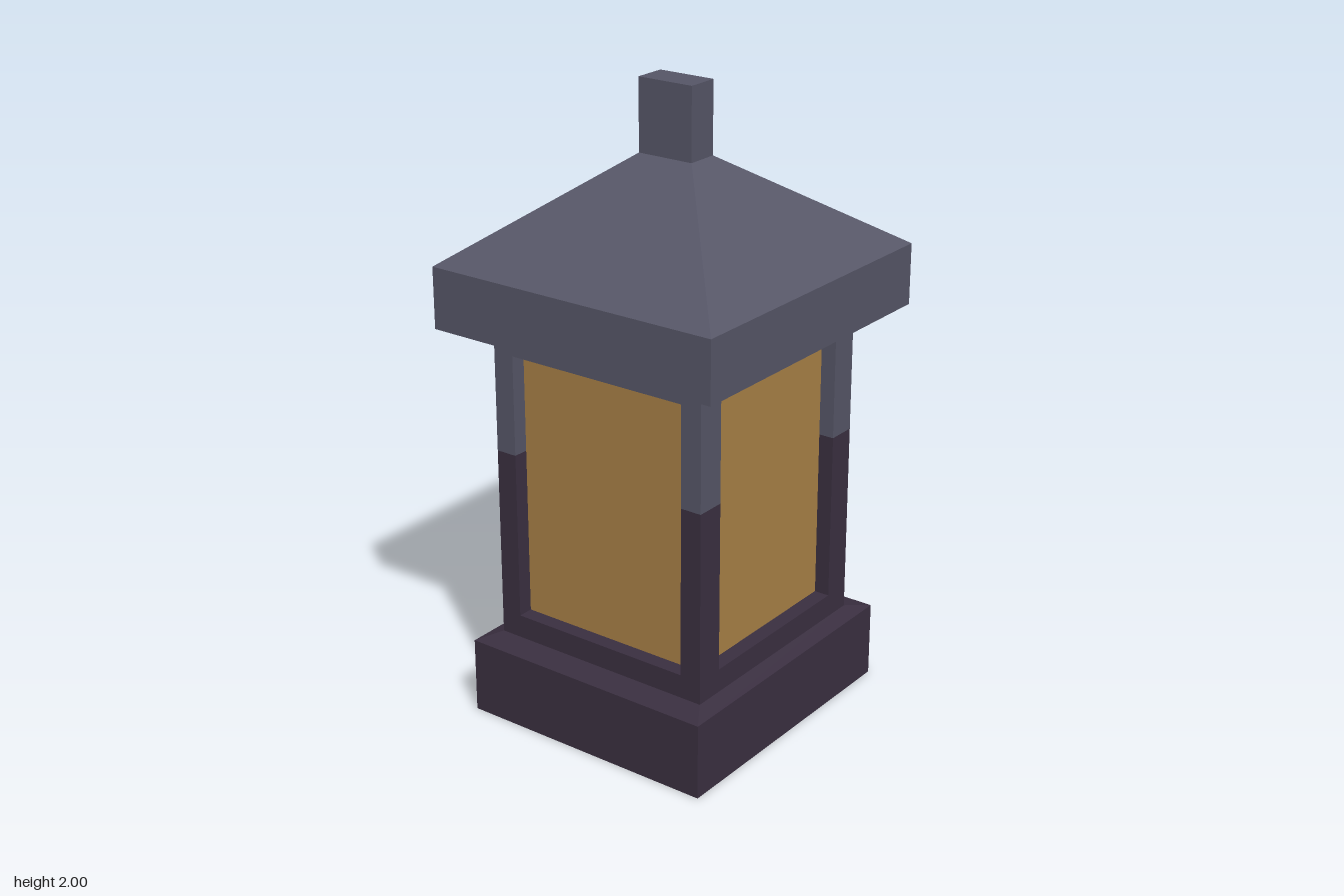
import * as THREE from 'three';

const mat = (name, color) => Object.assign(new THREE.MeshStandardMaterial({ color }), { name });

export function createModel() {
  const slate = mat('slate', 0x565667);
  const darkWood = mat('dark wood', 0x3a2f40);
  const amber = mat('amber glass', 0xa88046);
  const group = new THREE.Group();
  group.name = 'lantern';

  // Block from y0 to y1 with half sizes [x, z] at the bottom and at the top
  function block(name, material, y0, y1, bottom, top = bottom, x = 0, z = 0) {
    const geo = new THREE.BoxGeometry(2, 1, 2).toNonIndexed();
    const p = geo.attributes.position;
    for (let i = 0; i < p.count; i++) {
      const up = p.getY(i) > 0;
      const [hx, hz] = up ? top : bottom;
      p.setXYZ(i, x + p.getX(i) * hx, up ? y1 : y0, z + p.getZ(i) * hz);
    }
    geo.computeVertexNormals();
    const mesh = new THREE.Mesh(geo, material);
    mesh.name = name;
    group.add(mesh);
  }

  const body = [0.39, 0.38];

  // Plinth with a shallow sloped shoulder
  block('base', darkWood, 0, 0.243, [0.47, 0.432]);
  block('baseShoulder', darkWood, 0.243, 0.26, [0.47, 0.432], body);

  // Rails above and below the windows
  block('bottomRail', darkWood, 0.26, 0.335, body);
  block('topRail', slate, 1.195, 1.275, body);

  // Corner posts, dark below and slate above
  for (const sx of [-1, 1]) {
    for (const sz of [-1, 1]) {
      const half = [0.0475, 0.035];
      const x = sx * (body[0] - half[0]);
      const z = sz * (body[1] - half[1]);
      block('lowerPost', darkWood, 0.335, 0.875, half, half, x, z);
      block('upperPost', slate, 0.875, 1.195, half, half, x, z);
    }
  }

  // Recessed glowing panes on all four sides
  block('glass', amber, 0.335, 1.195, [0.34, 0.33]);

  // Roof: eaves, hipped slopes and finial
  const eaves = [0.512, 0.5];
  const finial = [0.052, 0.095];
  block('eaves', slate, 1.275, 1.468, eaves);
  block('roofSlopes', slate, 1.468, 1.775, eaves, finial);
  block('finial', slate, 1.775, 2, finial);

  return group;
}
